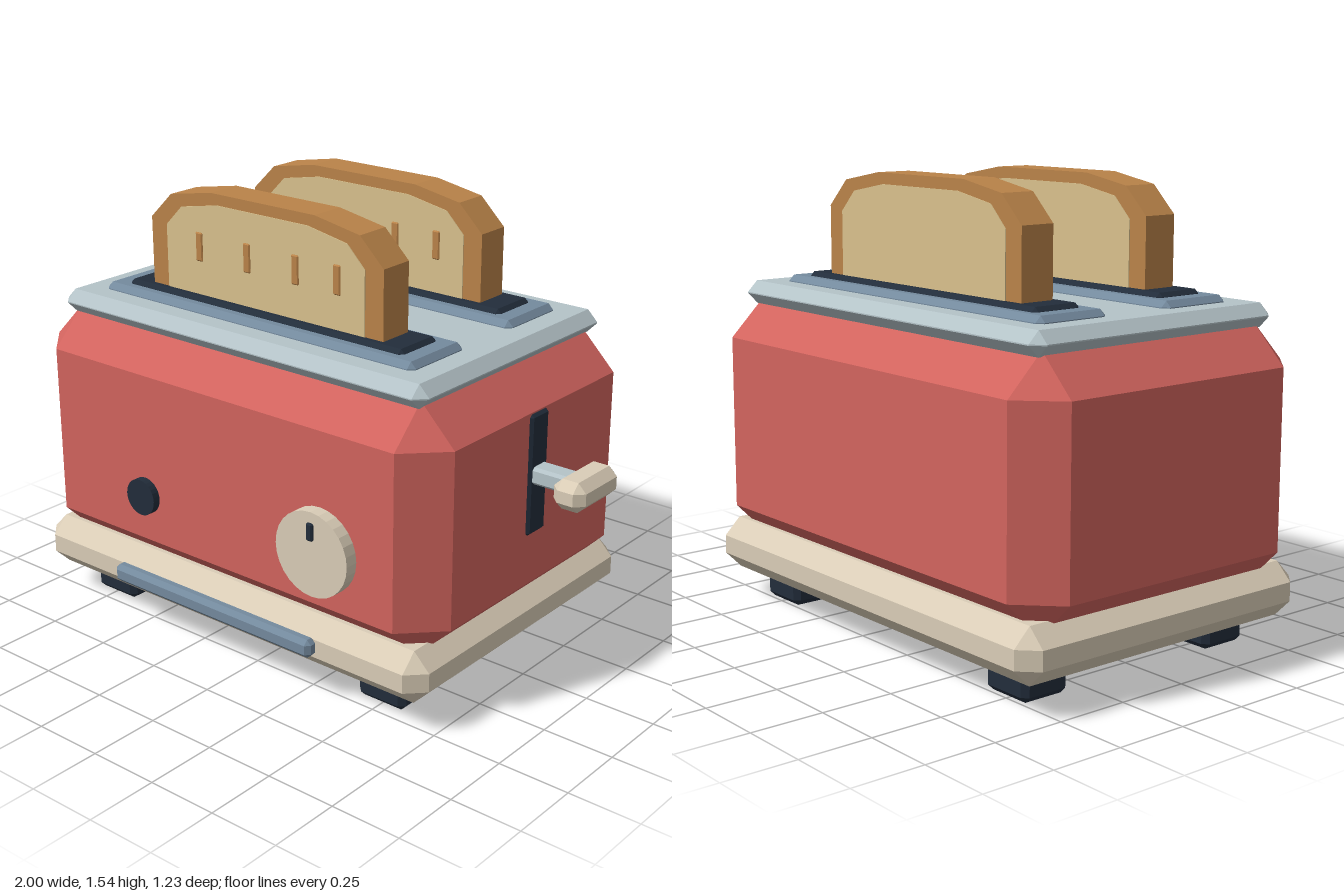
import * as THREE from 'three';
import { ConvexGeometry } from 'three/addons/geometries/ConvexGeometry.js';

const mat = (name, color) => {
  const m = new THREE.MeshStandardMaterial({ color });
  m.name = name;
  return m;
};

// Box from min/max corners with every edge cut off at 45 degrees
function chamferBox([x0, x1], [y0, y1], [z0, z1], c) {
  const hx = (x1 - x0) / 2, hy = (y1 - y0) / 2, hz = (z1 - z0) / 2;
  const pts = [];
  for (const sx of [-1, 1]) for (const sy of [-1, 1]) for (const sz of [-1, 1]) {
    pts.push(
      new THREE.Vector3(sx * hx, sy * (hy - c), sz * (hz - c)),
      new THREE.Vector3(sx * (hx - c), sy * hy, sz * (hz - c)),
      new THREE.Vector3(sx * (hx - c), sy * (hy - c), sz * hz));
  }
  return new ConvexGeometry(pts).translate((x0 + x1) / 2, (y0 + y1) / 2, (z0 + z1) / 2);
}

// Round knob facing +z, faceted rim
function disc(x, y, r, z0, z1) {
  const g = new THREE.CylinderGeometry(r, r, z1 - z0, 28).toNonIndexed();
  g.rotateX(Math.PI / 2).translate(x, y, (z0 + z1) / 2);
  g.computeVertexNormals();
  return g;
}

// Bread outline: straight sides, shouldered top; symmetric about x = 0
function breadShape(half, bottom, shoulder, mid, top, midX, topX) {
  const right = [[half, bottom], [half, shoulder], [midX, mid], [topX, top]];
  const left = right.map(([x, y]) => [-x, y]).reverse();
  return new THREE.Shape([...right, ...left].map(([x, y]) => new THREE.Vector2(x, y)));
}

const slab = (shape, depth, z) =>
  new THREE.ExtrudeGeometry(shape, { depth, bevelEnabled: false }).translate(0, 0, z);

export function createModel() {
  const red = mat('red enamel', 0xd2645e);
  const cream = mat('cream', 0xdacdb7);
  const steel = mat('pale steel', 0xb4c3c8);
  const blue = mat('blue grey', 0x748a9e);
  const dark = mat('dark navy', 0x222d3b);
  const crust = mat('crust', 0xba8349);
  const crumb = mat('crumb', 0xd9c18d);

  const model = new THREE.Group();
  model.name = 'toaster';
  const add = (name, geometry, material, parent = model) => {
    const mesh = new THREE.Mesh(geometry, material);
    mesh.name = name;
    parent.add(mesh);
    return mesh;
  };

  // Housing
  const cx = -0.122, cz = -0.02;
  const span = (c, half) => [c - half, c + half];
  add('body', chamferBox(span(cx, 0.878), [0.215, 1.08], span(cz, 0.58), 0.13), red);
  add('base', chamferBox(span(cx, 0.862), [0.1, 0.285], span(cz, 0.597), 0.06), cream);
  add('topPlate', chamferBox(span(cx, 0.793), [1.062, 1.142], span(cz, 0.507), 0.038), steel);

  // Feet
  for (const sx of [-1, 1]) for (const sz of [-1, 1]) {
    add('foot', chamferBox(span(cx + sx * 0.62, 0.096), [0, 0.12], span(cz + sz * 0.39, 0.091), 0.02), dark);
  }

  // Slots with a slice of bread in each
  for (const z of [0.24, -0.28]) {
    const slot = new THREE.Group();
    slot.name = 'breadSlot';
    slot.position.set(-0.125, 0, z);
    model.add(slot);
    add('slotFrame', chamferBox([-0.677, 0.677], [1.11, 1.165], [-0.139, 0.139], 0.02), blue, slot);
    add('slotOpening', chamferBox([-0.602, 0.602], [1.13, 1.18], [-0.094, 0.094], 0.014), dark, slot);
    add('crust', slab(breadShape(0.505, 1.15, 1.415, 1.507, 1.54, 0.41, 0.225), 0.126, -0.063), crust, slot);
    const face = breadShape(0.432, 1.15, 1.4, 1.472, 1.502, 0.36, 0.197);
    add('frontCrumb', slab(face, 0.006, 0.06), crumb, slot);
    add('backCrumb', slab(face, 0.006, -0.066), crumb, slot);
    for (const x of [-0.28, -0.065, 0.145, 0.32]) {
      add('toastMark', chamferBox(span(x, 0.015), [1.297, 1.397], [0.06, 0.071], 0.004), crust, slot);
    }
  }

  // Lever on the left side
  add('leverTrack', chamferBox([0.735, 0.766], [0.522, 0.945], span(cz, 0.05), 0.01), dark);
  add('leverArm', chamferBox([0.74, 0.92], [0.704, 0.764], span(cz, 0.038), 0.01), steel);
  add('leverKnob', chamferBox([0.882, 1], [0.683, 0.785], span(cz, 0.12), 0.03), cream);

  // Front controls
  add('dial', disc(0.335, 0.545, 0.147, 0.54, 0.607), cream);
  add('dialPointer', chamferBox([0.321, 0.347], [0.594, 0.655], [0.598, 0.617], 0.005), dark);
  add('button', disc(-0.45, 0.512, 0.065, 0.54, 0.588), dark);
  add('frontBar', chamferBox([-0.572, 0.327], [0.166, 0.231], [0.565, 0.617], 0.016), blue);

  return model;
}
